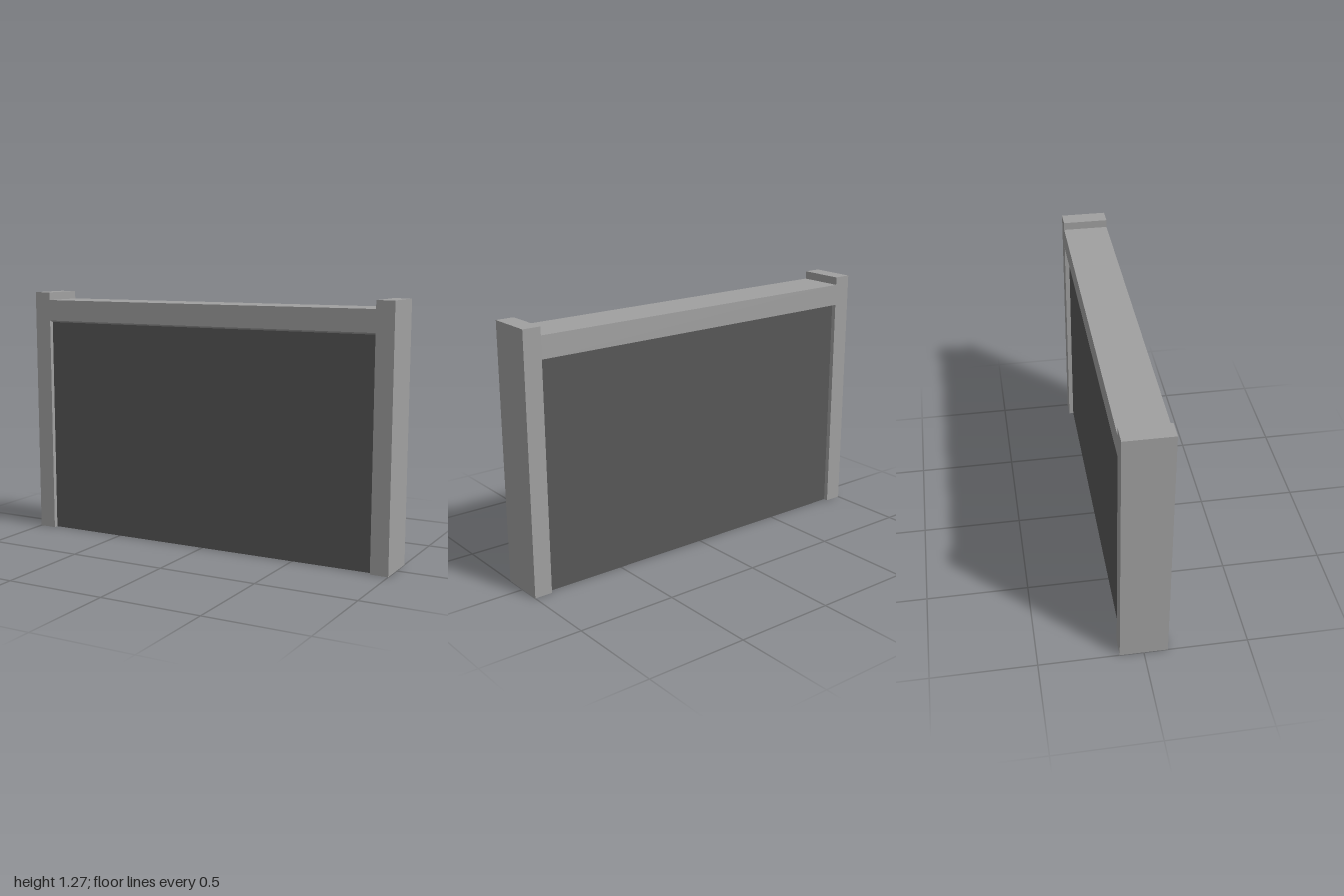
import * as THREE from 'three';

const POST_INNER = 0.91, HALF_DEPTH = 0.115, PANEL_Z = 0.092;
const PANEL_TOP = 1.118, BEAM_BOTTOM = 1.127, BEAM_TOP = 1.235, POST_TOP = 1.275;

// Sweeps an open [z, y] section along x, one flat strip per segment
function sweep(section, halfLength) {
  const pos = [];
  for (let i = 0; i < section.length - 1; i++) {
    const [az, ay] = section[i], [bz, by] = section[i + 1];
    const a = [-halfLength, ay, az], b = [halfLength, ay, az];
    const c = [halfLength, by, bz], d = [-halfLength, by, bz];
    pos.push(...a, ...b, ...c, ...a, ...c, ...d);
  }
  const geo = new THREE.BufferGeometry();
  geo.setAttribute('position', new THREE.Float32BufferAttribute(pos, 3));
  geo.computeVertexNormals();
  return geo;
}

// Box standing on y = 0 with no bottom face
function openBox(w, h, d) {
  const geo = new THREE.BoxGeometry(w, h, d).translate(0, h / 2, 0);
  const index = Array.from(geo.index.array);
  index.splice(18, 6);
  geo.setIndex(index);
  geo.clearGroups();
  return geo;
}

export function createModel() {
  const group = new THREE.Group();
  const frameGrey = new THREE.MeshStandardMaterial({ color: 0xa0a0a0, side: THREE.DoubleSide });
  frameGrey.name = 'frame grey';
  const panelGrey = new THREE.MeshStandardMaterial({ color: 0x575757, side: THREE.DoubleSide });
  panelGrey.name = 'panel grey';

  const add = (name, geo, material) => {
    const mesh = new THREE.Mesh(geo, material);
    mesh.name = name;
    group.add(mesh);
    return mesh;
  };

  // Hollow end posts, open underneath
  const postWidth = 1 - POST_INNER;
  for (const side of [-1, 1]) {
    const post = add(side > 0 ? 'leftPost' : 'rightPost',
      openBox(postWidth, POST_TOP, HALF_DEPTH * 2), frameGrey);
    post.position.x = side * (1 - postWidth / 2);
  }

  // Top rail with slightly sloped undersides
  add('topRail', sweep([
    [PANEL_Z, PANEL_TOP], [HALF_DEPTH, BEAM_BOTTOM], [HALF_DEPTH, BEAM_TOP],
    [-HALF_DEPTH, BEAM_TOP], [-HALF_DEPTH, BEAM_BOTTOM], [-PANEL_Z, PANEL_TOP],
  ], POST_INNER), frameGrey);

  // Recessed wall panels on both faces
  add('frontPanel', sweep([[PANEL_Z, 0], [PANEL_Z, PANEL_TOP]], POST_INNER), panelGrey);
  add('backPanel', sweep([[-PANEL_Z, PANEL_TOP], [-PANEL_Z, 0]], POST_INNER), panelGrey);

  return group;
}
